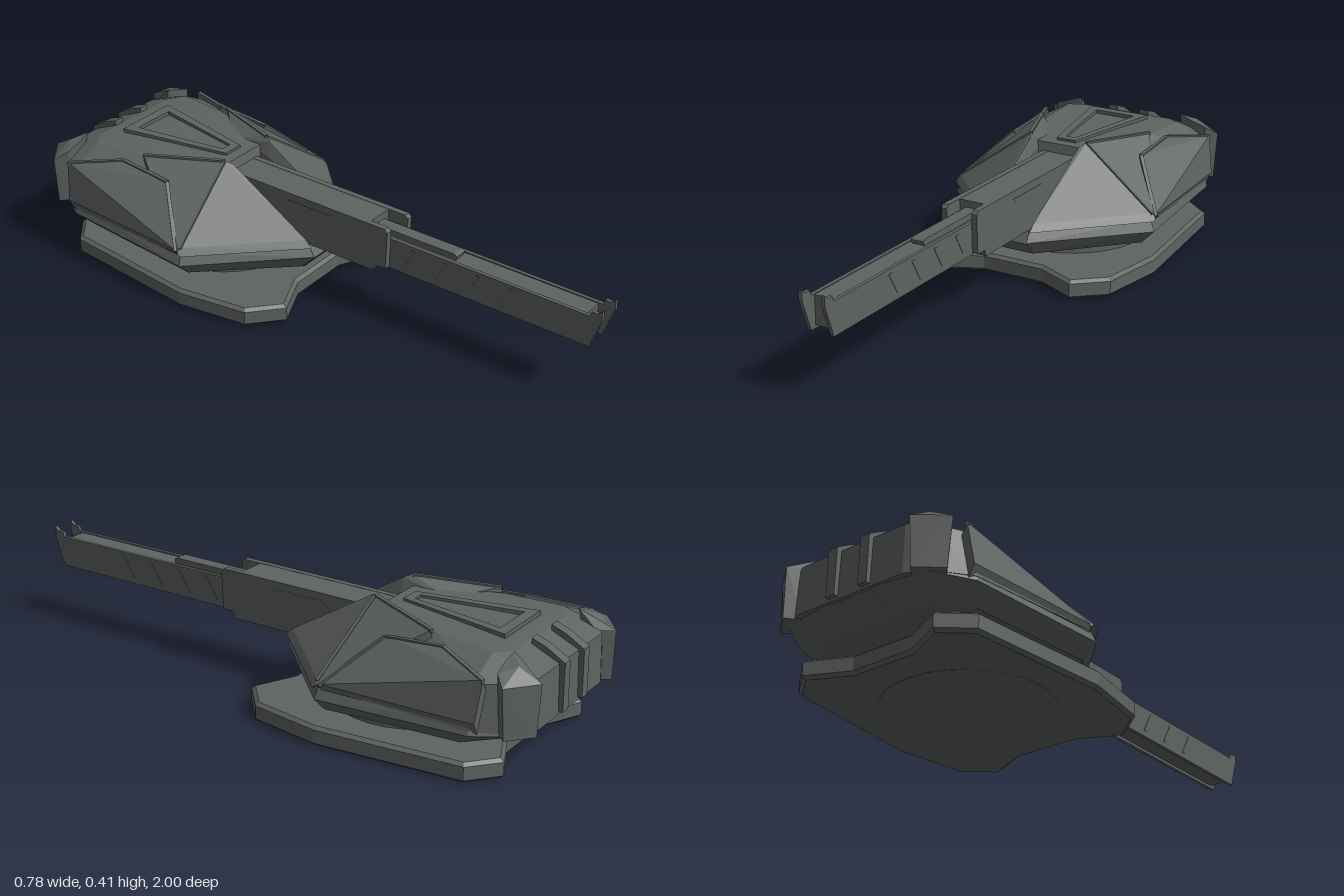
import * as THREE from 'three';
import { ConvexGeometry } from 'three/addons/geometries/ConvexGeometry.js';

export function createModel() {
  const model = new THREE.Group();
  const gunmetal = new THREE.MeshStandardMaterial({ color: 0x5e6360, flatShading: true });
  gunmetal.name = 'gunmetal';

  const add = (name, geometry) => {
    const mesh = new THREE.Mesh(geometry, gunmetal);
    mesh.name = name;
    model.add(mesh);
    return mesh;
  };
  const box = (name, x0, x1, y0, y1, z0, z1) =>
    add(name, new THREE.BoxGeometry(x1 - x0, y1 - y0, z1 - z0)
      .translate((x0 + x1) / 2, (y0 + y1) / 2, (z0 + z1) / 2));
  // faceted solid around [x, y, z] corners; s mirrors it in x
  const solid = (name, pts, s = 1) =>
    add(name, new ConvexGeometry(pts.map(([x, y, z]) => new THREE.Vector3(x * s, y, z))));
  const both = pts => pts.flatMap(([x, y, z]) => [[x, y, z], [-x, y, z]]);
  // side profile of [z, y] points, extruded across x
  const profile = (name, pts, x, width) =>
    add(name, new THREE.ExtrudeGeometry(new THREE.Shape(pts.map(p => new THREE.Vector2(...p))),
      { depth: width, bevelEnabled: false }).translate(0, 0, -width / 2).rotateY(-Math.PI / 2).translate(x, 0, 0));
  // raised trim strip between two points
  const strip = (name, a, b, s, w = 0.012) => {
    const p = new THREE.Vector3(a[0] * s, a[1] - 0.004, a[2]), q = new THREE.Vector3(b[0] * s, b[1] - 0.004, b[2]);
    const mesh = add(name, new THREE.BoxGeometry(w, w, p.distanceTo(q)));
    mesh.position.copy(p).lerp(q, 0.5);
    mesh.lookAt(q);
  };

  // base plate with four corner lobes, notched at front and back ([x, -z] points)
  const half = [[0.11, 0.065], [0.25, 0], [0.352, 0.09], [0.39, 0.33], [0.354, 0.72], [0.345, 0.82], [0.25, 0.9], [0.11, 0.835]];
  const outline = [...half, ...[...half].reverse().map(([x, y]) => [-x, y])].map(p => new THREE.Vector2(...p));
  add('basePlate', new THREE.ExtrudeGeometry(new THREE.Shape(outline), {
    depth: 0.044, bevelThickness: 0.01, bevelSize: 0.012, bevelOffset: -0.012, bevelSegments: 1,
  }).rotateX(-Math.PI / 2).translate(0, 0.011, 0));
  add('baseDisc', new THREE.CylinderGeometry(0.27, 0.27, 0.004, 40).translate(0, 0.002, -0.45));
  add('turningRing', new THREE.CylinderGeometry(0.273, 0.273, 0.06, 32).translate(0, 0.085, -0.45));

  // centre of the skirt under the gun
  solid('skirtCentre', both([
    [0.085, 0.105, -0.06], [0.08, 0.15, -0.022], [0.075, 0.185, -0.045],
    [0.085, 0.105, -0.87], [0.08, 0.155, -0.97], [0.08, 0.19, -0.96],
  ]));

  // rear body with sloping roof
  solid('rearBody', both([
    [0.375, 0.19, -0.34], [0.342, 0.17, -0.83], [0.27, 0.16, -0.95], [0.2, 0.16, -0.978],
    [0.328, 0.31, -0.83], [0.26, 0.315, -0.945], [0.2, 0.32, -0.972],
    [0.09, 0.376, -0.38], [0.2, 0.374, -0.64], [0.22, 0.37, -0.83], [0.17, 0.365, -0.87],
  ]));

  for (const s of [1, -1]) {
    // flared skirt, swept back from the gun
    solid('skirt', [
      [0.08, 0.105, -0.06], [0.338, 0.105, -0.335],
      [0.3, 0.105, -0.78], [0.2, 0.105, -0.87], [0.08, 0.105, -0.87],
      [0.08, 0.153, -0.02], [0.385, 0.153, -0.33],
      [0.345, 0.155, -0.83], [0.27, 0.158, -0.95], [0.08, 0.158, -0.975],
      [0.078, 0.192, -0.045], [0.368, 0.192, -0.335], [0.335, 0.192, -0.82], [0.08, 0.192, -0.96],
    ], s);

    // armoured cheek: one large swept facet beside the gun
    const apex = [0.108, 0.406, -0.365], ridge = [0.212, 0.388, -0.625], corner = [0.374, 0.214, -0.335];
    solid('cheek', [
      [0.09, 0.19, -0.022], [0.386, 0.19, -0.325], [0.386, 0.2, -0.335],
      [0.09, 0.214, -0.046], corner, [0.094, 0.395, -0.34], apex, ridge,
      [0.08, 0.19, -0.05], [0.08, 0.35, -0.34],
      [0.09, 0.36, -0.5], [0.09, 0.19, -0.5], [0.21, 0.3, -0.63],
    ], s);
    strip('cheekTrim', apex, ridge, s);
    strip('cheekTrim', apex, corner, s);

    // raised slab on the turret side
    const front = [0.381, 0.205, -0.345], low = [0.35, 0.2, -0.85], back = [0.33, 0.332, -0.862];
    const top = [0.248, 0.364, -0.685], bend = [0.25, 0.35, -0.49];
    const slab = [front, low, back, top, bend];
    solid('sideSlab', [...slab, ...slab.map(([x, y, z]) => [x - 0.025, y - 0.05, z])], s);
    strip('slabTrim', front, bend, s);
    strip('slabTrim', bend, top, s);
    strip('slabTrim', top, back, s);

    // corner pod at the back
    solid('rearPod', [
      [0.245, 0.158, -0.995], [0.322, 0.158, -0.93], [0.21, 0.158, -0.95], [0.295, 0.158, -0.9],
      [0.24, 0.322, -1], [0.334, 0.322, -0.925], [0.205, 0.322, -0.95],
      [0.25, 0.362, -0.93], [0.2, 0.382, -0.89], [0.3, 0.348, -0.89], [0.25, 0.366, -0.885],
    ], s);

    // rib running down the rear wall
    profile('rearRib', [[-0.88, 0.378], [-0.93, 0.36], [-0.99, 0.325], [-0.992, 0.17], [-0.94, 0.17], [-0.88, 0.34]],
      s * 0.062, 0.034);

    // barrel side plate with a pointed prong
    profile('barrelSide', [[-0.3, 0.2], [0.965, 0.2], [1, 0.3], [1, 0.335], [0.985, 0.322], [0.965, 0.322], [0.96, 0.305], [-0.3, 0.308]],
      s * 0.039, 0.012);
    // slanted ribs along the barrel
    for (let i = 0; i < 5; i++) {
      const z = 0.7 - i * 0.118;
      profile('barrelRib', [[z, 0.292], [z - 0.016, 0.292], [z - 0.058, 0.22], [z - 0.042, 0.22]], s * 0.0435, 0.006);
    }
    // side wall of the gun housing
    profile('housingSide', [[-0.38, 0.185], [0.2, 0.182], [0.21, 0.205], [0.25, 0.205], [0.255, 0.335], [0.245, 0.346], [-0.38, 0.346]],
      s * 0.055, 0.02);
    profile('housingVent', [[0.04, 0.32], [-0.14, 0.32], [-0.16, 0.305], [0.02, 0.305]], s * 0.0635, 0.006);
  }

  // gun core, housing and top rail
  box('barrelCore', -0.034, 0.034, 0.21, 0.302, -0.3, 0.945);
  box('housingTop', -0.046, 0.046, 0.3, 0.345, -0.38, 0.18);
  box('housingFloor', -0.046, 0.046, 0.184, 0.22, -0.38, 0.205);
  profile('topRail', [[0.1, 0.3], [0.48, 0.3], [0.485, 0.316], [0.475, 0.322], [0.1, 0.322]], 0, 0.044);

  // tapered frame on the roof
  const trapezoid = (Type, w0, z0, w1, z1) => new Type([[-w0, -z0], [w0, -z0], [w1, -z1], [-w1, -z1]]
    .map(p => new THREE.Vector2(...p)));
  const frame = trapezoid(THREE.Shape, 0.036, -0.42, 0.112, -0.81);
  frame.holes.push(trapezoid(THREE.Path, 0.018, -0.45, 0.075, -0.775));
  add('roofFrame', new THREE.ExtrudeGeometry(frame, { depth: 0.014, bevelEnabled: false })
    .rotateX(-Math.PI / 2).translate(0, 0.37, 0));

  return model;
}
